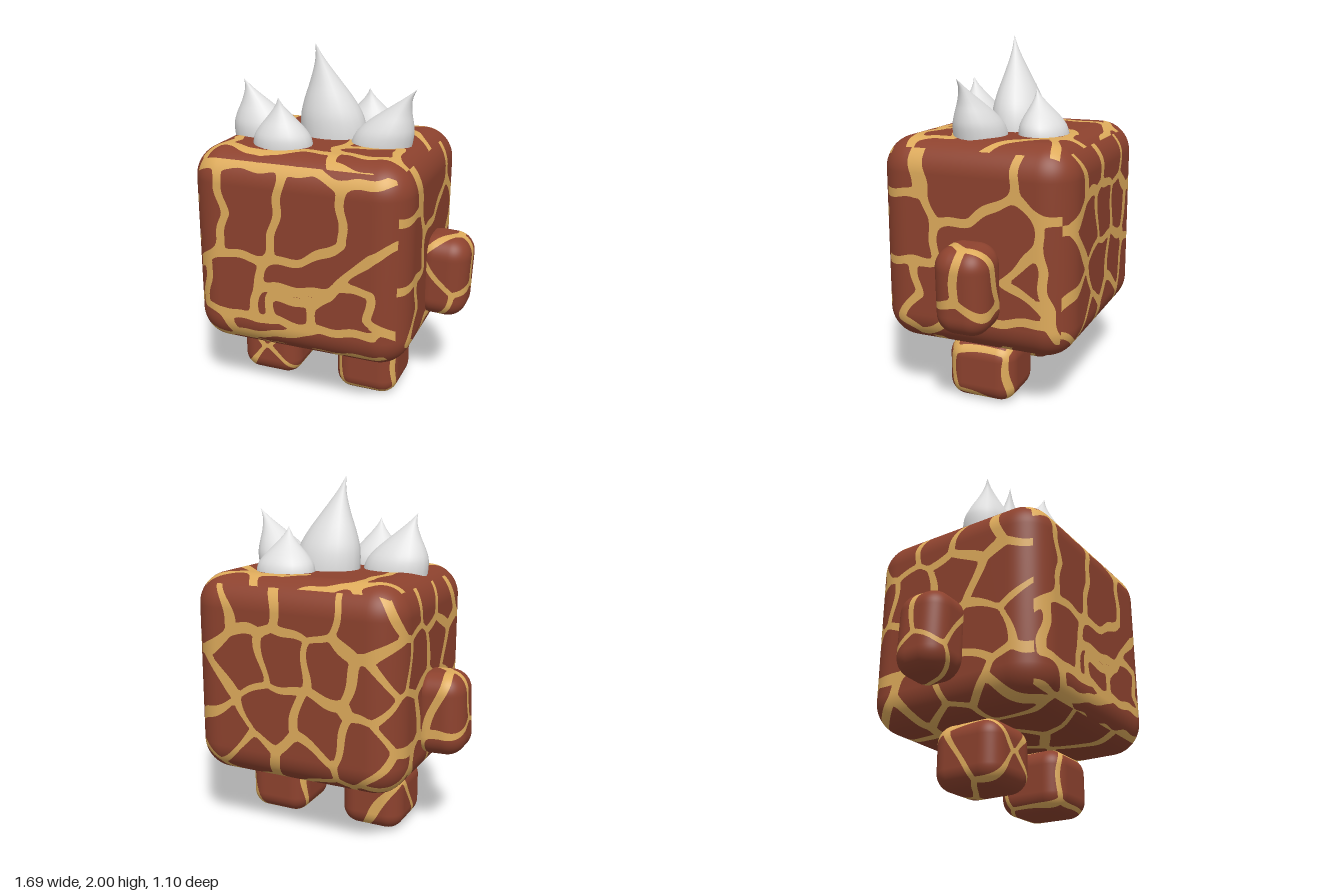
import * as THREE from 'three';
import { mergeVertices } from 'three/addons/utils/BufferGeometryUtils.js';

const patchBrown = new THREE.MeshStandardMaterial({ color: 0x8d422e });
patchBrown.name = 'patch brown';
const veinTan = new THREE.MeshStandardMaterial({ color: 0xdeab5b });
veinTan.name = 'vein tan';
const spikeGrey = new THREE.MeshStandardMaterial({ color: 0xe2e2e2 });
spikeGrey.name = 'spike grey';

// Finely divided box whose points are pulled onto a rounded surface
function roundedBox(w, h, d, r, n) {
  const geo = new THREE.BoxGeometry(w, h, d, n, n, n);
  const pos = geo.attributes.position, nor = geo.attributes.normal;
  const inner = new THREE.Vector3(w / 2 - r, h / 2 - r, d / 2 - r);
  const lo = inner.clone().negate();
  const p = new THREE.Vector3(), c = new THREE.Vector3();
  for (let i = 0; i < pos.count; i++) {
    p.fromBufferAttribute(pos, i);
    c.copy(p).clamp(lo, inner);
    p.sub(c).normalize();
    nor.setXYZ(i, p.x, p.y, p.z);
    c.addScaledVector(p, r);
    pos.setXYZ(i, c.x, c.y, c.z);
  }
  return geo;
}

// Both fields are positive inside a patch and negative in a vein.
// Cell field: veins run midway between neighbouring patch centres
function cellField(p, seeds, half, wobble) {
  const q = new THREE.Vector3(
    p.x + wobble * Math.sin(p.y * 17 + p.z * 9),
    p.y + wobble * Math.sin(p.x * 19 + p.z * 13 + 1),
    p.z + wobble * Math.sin(p.y * 15 + p.x * 11 + 2));
  const near = seeds.reduce((a, s) => (q.distanceToSquared(s) < q.distanceToSquared(a) ? s : a));
  let edge = Infinity;
  for (const s of seeds) {
    if (s !== near) edge = Math.min(edge, (q.distanceToSquared(s) - q.distanceToSquared(near)) / (2 * near.distanceTo(s)));
  }
  return edge - half * (1 + 0.3 * Math.sin(p.x * 8 + p.y * 6 - p.z * 7));
}

// Path field: veins follow drawn paths and widen softly where they meet
function pathField(u, v, paths) {
  u += 0.008 * Math.sin(v * 31);
  v += 0.008 * Math.sin(u * 29 + 1);
  let sum = 0;
  for (const c of paths) {
    let best = Infinity;
    for (let i = 0; i + 3 < c.length; i += 2) {
      const dx = c[i + 2] - c[i], dy = c[i + 3] - c[i + 1];
      const t = THREE.MathUtils.clamp(((u - c[i]) * dx + (v - c[i + 1]) * dy) / (dx * dx + dy * dy), 0, 1);
      best = Math.min(best, Math.hypot(u - c[i] - t * dx, v - c[i + 1] - t * dy));
    }
    sum += Math.exp(-best / 0.012);
  }
  return -0.012 * Math.log(sum + 1e-9) - 0.024;
}

// Splits the surface along the patch outlines into a brown and a tan mesh
function paintedPart(name, geo, field) {
  const pos = geo.attributes.position, nor = geo.attributes.normal, idx = geo.index;
  const perFace = pos.count / 6, verts = [];
  for (let i = 0; i < pos.count; i++) {
    const p = new THREE.Vector3().fromBufferAttribute(pos, i);
    const n = new THREE.Vector3().fromBufferAttribute(nor, i);
    verts.push({ p, n, f: field(p, Math.floor(i / perFace)) });
  }
  const group = new THREE.Group();
  group.name = name;
  for (const [sign, material, label] of [[1, patchBrown, 'Patches'], [-1, veinTan, 'Veins']]) {
    const P = [], N = [];
    for (let i = 0; i < idx.count; i += 3) {
      const poly = [];
      for (let k = 0; k < 3; k++) {
        const a = verts[idx.getX(i + k)], b = verts[idx.getX(i + (k + 1) % 3)];
        if (a.f * sign >= 0) poly.push(a);
        if (a.f * b.f < 0) {
          const t = a.f / (a.f - b.f);
          poly.push({ p: a.p.clone().lerp(b.p, t), n: a.n.clone().lerp(b.n, t).normalize() });
        }
      }
      for (let k = 1; k + 1 < poly.length; k++) {
        for (const v of [poly[0], poly[k], poly[k + 1]]) {
          P.push(v.p.x, v.p.y, v.p.z);
          N.push(v.n.x, v.n.y, v.n.z);
        }
      }
    }
    const part = new THREE.BufferGeometry();
    part.setAttribute('position', new THREE.Float32BufferAttribute(P, 3));
    part.setAttribute('normal', new THREE.Float32BufferAttribute(N, 3));
    const mesh = new THREE.Mesh(part, material);
    mesh.name = name + label;
    group.add(mesh);
  }
  return group;
}

// Vein paths: front in x, y; left side in z, y; top in x, z
const frontVeins = [
  [-.62, 1.36, -.45, 1.42, -.39, 1.15, -.44, .93, -.62, .78],
  [-.45, 1.42, .12, 1.42, .27, 1.37, .6, 1.42],
  [-.06, 1.42, -.08, 1.2, -.14, .93, -.2, .8, -.23, .6],
  [-.44, .93, -.14, .91, .05, .93, .29, 1.06, .27, 1.37],
  [.62, 1.1, .44, 1.01, .2, .77, -.2, .76],
  [.3, .82, .44, .81, .43, .66, .62, .52],
  [.2, .77, .12, .67, .1, .55, .45, .57],
  [.1, .7, -.13, .7, -.13, .57, .1, .54],
  [-.13, .57, -.3, .56, -.54, .58, -.5, .84],
  [-.42, .56, -.34, .44, -.06, .48, .1, .54],
  [-.56, .42, 0, .37, .5, .42],
];
const leftVeins = [
  [.3, 1.48, .25, 1.2, .2, 1.05, .2, .84, .55, .82],
  [.33, 1.48, .3, 1.2, .55, 1.2],
  [.2, 1.05, 0, 1.08, -.25, 1.23, -.27, 1.48],
  [-.25, 1.23, -.38, 1.14, -.42, .74, -.48, .48],
  [.33, .81, .3, .65, .42, .5, .3, .42, .1, .52, -.42, .58],
  [-.38, .96, -.2, .78, -.42, .65],
  [-.38, 1.14, -.55, 1.1],
];
const topVeins = [
  [-.42, -.55, -.35, -.45, -.4, -.05, -.46, .2, -.42, .28, -.56, .52],
  [-.62, -.33, -.35, -.45, 0, -.53],
  [.2, -.55, .25, -.43, .4, -.25, .62, -.02],
  [.6, -.48, .38, -.38, .1, -.4, 0, -.32],
  [.18, .06, .15, .3, .2, .35, .38, .38, .62, .34],
  [.15, .25, .46, .15, .5, .35],
  [-.44, .38, -.2, .45, 0, .37, .17, .37, .2, .48, .42, .52],
];

// Patch centres on the back in x, y
const backPatches = [[.5, 1.28], [.26, 1.36], [-.08, 1.34], [-.45, 1.26], [.53, .82], [.28, 1.04], [.03, 1.07],
  [-.25, 1.04], [-.48, .94], [.4, .62], [.1, .76], [-.2, .72], [-.43, .62], [.25, .45], [-.07, .48]];

const BODY_Y = 0.92;

function makeBody() {
  const seeds = backPatches.map(([x, y]) => new THREE.Vector3(x, y - BODY_Y, -.55));
  // Staggered, shifted rows of patches on the right side and the underside
  for (let row = 0; row < 4; row++) {
    for (let col = 0; col < 4; col++) {
      const a = -.42 + col * .28 + (row % 2 ? .06 : -.06) + .05 * Math.sin(row * 5 + col * 7);
      const b = -.45 + row * .3 + .06 * Math.sin(row * 3 + col * 4);
      seeds.push(new THREE.Vector3(-.62, b, a));
      if (row < 3) seeds.push(new THREE.Vector3(a * 1.1, -.57, b * 1.1 + .16));
    }
  }
  // Box faces come in the order +x, -x, +y, -y, +z, -z
  const body = paintedPart('body', roundedBox(1.24, 1.14, 1.1, .18, 64), (p, face) => {
    if (face === 0) return pathField(p.z, p.y + BODY_Y, leftVeins);
    if (face === 2) return pathField(p.x, p.z, topVeins);
    if (face === 4) return pathField(p.x, p.y + BODY_Y, frontVeins);
    return cellField(p, seeds, .024, .02);
  });
  body.position.y = BODY_Y;
  return body;
}

// Limb patch centres, as fractions of the half size
const armPatches = [[.9, .3, .65], [.9, .25, -.7], [.8, -.8, .1], [-.6, -.5, .8], [-.6, .6, -.8]];
const leftFootPatches = [[.1, 0, 1], [-1, .1, .2], [.2, 1, 0], [1, -.1, -.1], [0, -1, .2], [0, 0, -1]];
const rightFootPatches = [[-.9, .05, .7], [.9, .1, .6], [.05, .9, .6], [0, -.85, .7], [.3, .1, -1], [-.8, -.7, -.7]];

function makeLimb(name, size, r, at, lean, patches) {
  const seeds = patches.map(([x, y, z]) => new THREE.Vector3(x * size[0] / 2, y * size[1] / 2, z * size[2] / 2));
  const limb = paintedPart(name, roundedBox(...size, r, 28), p => cellField(p, seeds, .019, .014));
  limb.position.set(...at);
  limb.rotation.z = lean;
  return limb;
}

// Teardrop spike with an oval foot and a tip that curls off to one side
const spikeProfile = [[1, 0], [1, .13], [.93, .28], [.74, .44], [.49, .6], [.25, .76], [.1, .88], [0, 1]];

function makeSpike([x, z, rx, rz, tipX, tipY, tipZ]) {
  const foot = 1.46, height = tipY - foot;
  const curve = new THREE.SplineCurve(spikeProfile.map(([r, t]) => new THREE.Vector2(r, t)));
  const points = curve.getPoints(21).map(p => new THREE.Vector2(Math.max(p.x, 0), p.y));
  let geo = new THREE.LatheGeometry(points, 20);
  const pos = geo.attributes.position;
  for (let i = 0; i < pos.count; i++) {
    const t = pos.getY(i), bend = Math.pow(Math.max(t, 0), 1.6);
    pos.setXYZ(i, x + pos.getX(i) * rx + (tipX - x) * bend, foot + t * height,
      z + pos.getZ(i) * rz + (tipZ - z) * bend);
  }
  geo.deleteAttribute('uv');
  geo.deleteAttribute('normal');
  geo = mergeVertices(geo, 1e-5);
  geo.computeVertexNormals();
  const mesh = new THREE.Mesh(geo, spikeGrey);
  mesh.name = 'spike';
  return mesh;
}

export function createModel() {
  const model = new THREE.Group();
  model.name = 'spikyBlockCreature';
  model.add(makeBody());
  model.add(makeLimb('leftArm', [.3, .47, .3], .11, [.69, .75, -.03], -.04, armPatches));
  model.add(makeLimb('rightArm', [.3, .46, .3], .11, [-.69, .742, -.04], -.04, armPatches.map(([x, y, z]) => [-x, y, z])));
  model.add(makeLimb('leftLeg', [.37, .35, .4], .1, [.295, .175, .02], 0, leftFootPatches));
  model.add(makeLimb('rightLeg', [.37, .35, .4], .1, [-.31, .185, .02], 0, rightFootPatches));

  // Spikes: foot x, z, radii x, z, then tip x, y, z
  const spikes = new THREE.Group();
  spikes.name = 'spikes';
  for (const s of [
    [.015, -.04, .19, .152, -.07, 2, .03],
    [-.35, .08, .185, .14, -.46, 1.8, .13],
    [.325, .055, .168, .142, .53, 1.8, .1],
    [.17, -.245, .17, .133, .17, 1.73, -.2],
    [-.16, .275, .165, .135, -.16, 1.75, .33],
  ]) spikes.add(makeSpike(s));
  model.add(spikes);
  return model;
}
